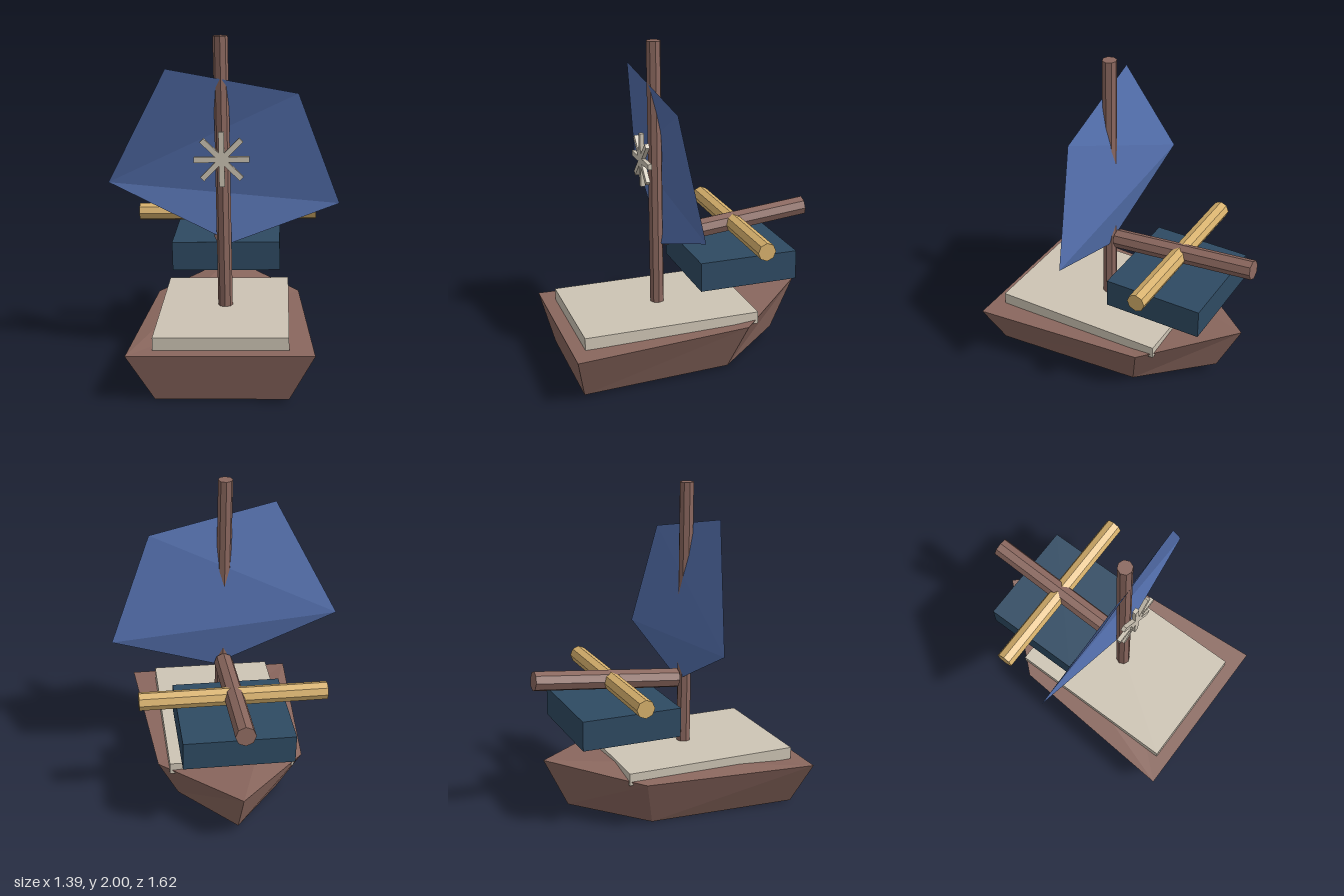
import * as THREE from 'three';

const flat = (name, color, extra = {}) => {
  const m = new THREE.MeshStandardMaterial({ color, flatShading: true, ...extra });
  m.name = name;
  return m;
};

const ROLL = 0.021; // the boat leans slightly to its right

export function createModel() {
  const brown = flat('brown wood', 0x8a675e);
  const cream = flat('cream', 0xcdc4b4);
  const navy = flat('navy', 0x2e4a62);
  const gold = flat('gold wood', 0xd6b06c);
  const blue = flat('blue cloth', 0x5470ae, { side: THREE.DoubleSide });

  const boat = new THREE.Group();
  boat.name = 'sailingBoat';

  const add = (name, geometry, material, x = 0, y = 0, z = 0, parent = boat) => {
    const mesh = new THREE.Mesh(geometry, material);
    mesh.name = name;
    mesh.position.set(x, y, z);
    parent.add(mesh);
    return mesh;
  };

  const faceted = (points, index) => {
    const g = new THREE.BufferGeometry();
    g.setAttribute('position', new THREE.Float32BufferAttribute(points.flat(), 3));
    g.setIndex(index);
    const out = g.toNonIndexed();
    out.computeVertexNormals();
    return out;
  };

  // Eight-sided pole between two points
  const pole = (name, from, to, radius, material) => {
    const a = new THREE.Vector3(...from), b = new THREE.Vector3(...to);
    const dir = b.clone().sub(a);
    const mid = a.clone().add(b).multiplyScalar(0.5);
    const mesh = add(name, new THREE.CylinderGeometry(radius, radius, dir.length(), 8), material, mid.x, mid.y, mid.z);
    mesh.quaternion.setFromUnitVectors(new THREE.Vector3(0, 1, 0), dir.normalize());
  };

  // Hull: five-sided outline at the keel and at the rim, pointed toward -z
  const keel = [[-0.36, 0.003, 0.745], [0.4, 0.02, 0.745], [0.335, 0.018, -0.18], [0.01, 0.065, -0.605], [-0.305, 0.003, -0.18]];
  const rim = [[-0.52, 0.285, 0.81], [0.54, 0.307, 0.81], [0.46, 0.322, -0.265], [0, 0.38, -0.757], [-0.44, 0.302, -0.265]];
  const index = [];
  for (let i = 0; i < 5; i++) {
    const j = (i + 1) % 5;
    index.push(i, j, 5 + j, i, 5 + j, 5 + i);
  }
  for (let i = 1; i < 4; i++) index.push(5, 5 + i, 6 + i, 0, i + 1, i);
  add('hull', faceted([...keel, ...rim], index), brown);

  // Deck slab and cabin
  add('deck', new THREE.BoxGeometry(0.77, 0.075, 1.08), cream, 0.01, 0.336, 0.19).rotation.z = ROLL;
  add('cabin', new THREE.BoxGeometry(0.665, 0.18, 0.615), navy, 0.005, 0.627, -0.31).rotation.z = ROLL;

  // Mast, boom and yard
  pole('mast', [0.012, 0.33, 0.17], [-0.021, 2, 0.17], 0.044, brown);
  pole('boom', [0, 0.79, 0.115], [0, 0.882, -0.803], 0.06, brown);
  pole('yard', [0.563, 0.843, -0.325], [-0.563, 0.82, -0.325], 0.055, gold);

  // Sail: a bent five-cornered sheet
  const sail = [[-0.7, 1.11, 0.09], [0.05, 0.76, 0.15], [0.69, 1.0, 0.1], [0.435, 1.67, 0.175], [-0.335, 1.815, 0.238]];
  add('sail', faceted(sail, [0, 1, 2, 0, 2, 3, 0, 3, 4]), blue);

  // Star ornament: four crossed bars in front of the mast
  const star = new THREE.Group();
  star.name = 'starOrnament';
  star.position.set(-0.008, 1.292, 0.252);
  star.rotation.z = ROLL;
  for (let i = 0; i < 4; i++) {
    add('starBar', new THREE.BoxGeometry(0.325, 0.032, 0.025), cream, 0, 0, 0, star).rotation.z = (i * Math.PI) / 4;
  }
  boat.add(star);

  return boat;
}
